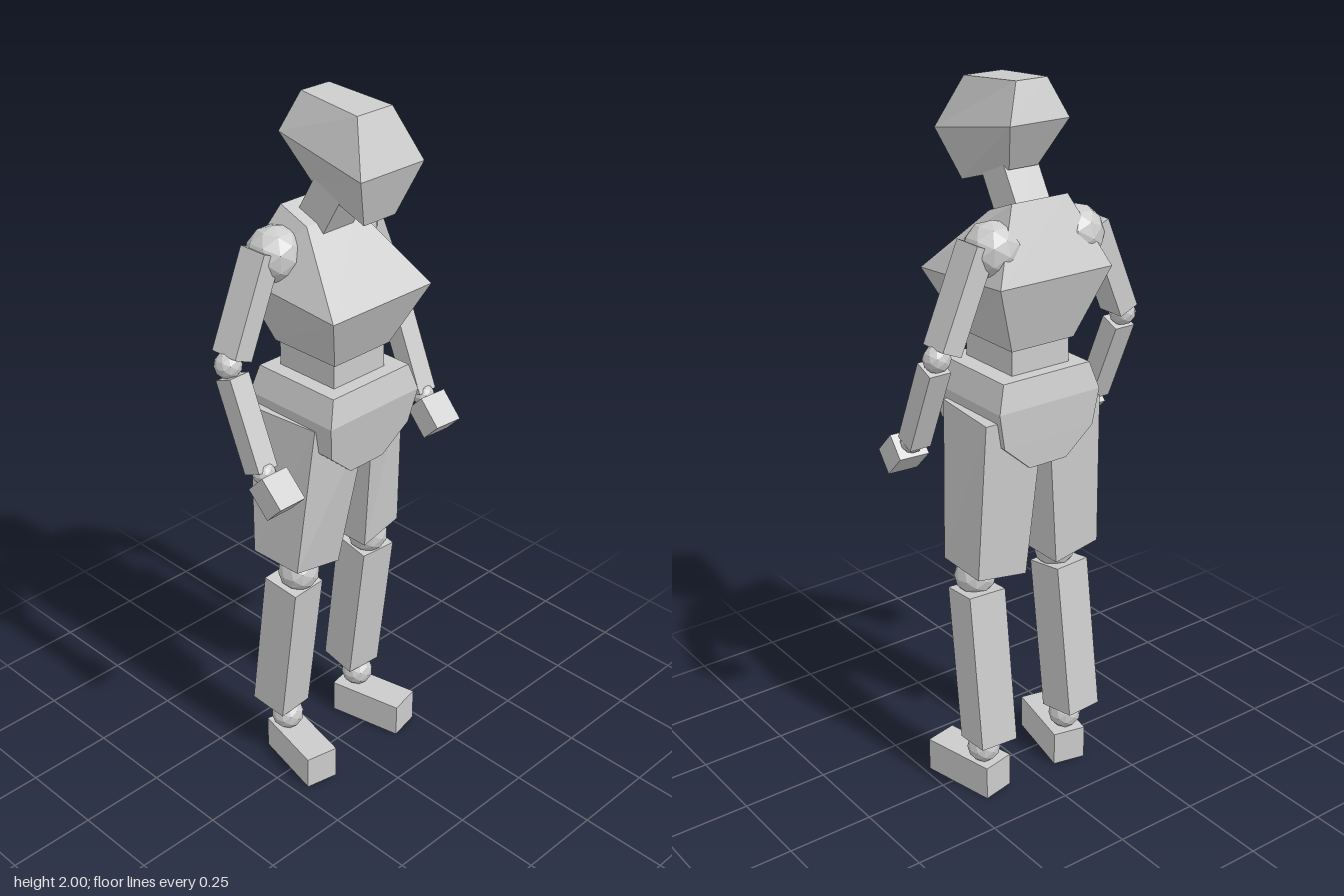
import * as THREE from 'three';

const material = new THREE.MeshStandardMaterial({ color: 0xcccccc, flatShading: true });

export function createModel() {
  const model = new THREE.Group();
  model.name = 'jointedFigure';

  function add(name, geometry, position = [0, 0, 0], rotation = [0, 0, 0]) {
    const mesh = new THREE.Mesh(geometry, material);
    mesh.name = name;
    mesh.position.set(...position);
    mesh.rotation.set(...rotation, 'YXZ');
    model.add(mesh);
    return mesh;
  }
  const box = (name, size, position, rotation) =>
    add(name, new THREE.BoxGeometry(...size), position, rotation);
  const ball = (name, radius, position) =>
    add(name, new THREE.IcosahedronGeometry(radius, 1), position);

  // Closed block through four-cornered rings, listed from bottom to top
  function loft(name, rings, position) {
    const points = [];
    const quad = (a, b, c, d) => points.push(...a, ...b, ...c, ...a, ...c, ...d);
    for (let i = 0; i + 1 < rings.length; i++) {
      for (let j = 0; j < 4; j++) {
        const k = (j + 1) % 4;
        quad(rings[i][j], rings[i][k], rings[i + 1][k], rings[i + 1][j]);
      }
    }
    quad(...[...rings[0]].reverse());
    quad(...rings[rings.length - 1]);
    const geometry = new THREE.BufferGeometry();
    geometry.setAttribute('position', new THREE.Float32BufferAttribute(points, 3));
    geometry.computeVertexNormals();
    return add(name, geometry, position);
  }
  // Symmetric ring from a front edge and a back edge: half width, y, z
  const ring = ([fw, fy, fz], [bw, by, bz]) =>
    [[-fw, fy, fz], [fw, fy, fz], [bw, by, bz], [-bw, by, bz]];

  // Head and neck, leaning forward
  loft('head', [
    ring([0.055, 1.715, 0.145], [0.045, 1.775, -0.045]),
    ring([0.11, 1.85, 0.187], [0.092, 1.9, -0.112]),
    ring([0.06, 1.985, 0.125], [0.048, 2, -0.077]),
  ]);
  box('neck', [0.106, 0.22, 0.098], [0, 1.71, -0.02], [0.53, 0, 0]);

  // Torso
  loft('chest', [
    ring([0.1, 1.33, 0.09], [0.1, 1.33, -0.13]),
    ring([0.177, 1.497, 0.163], [0.177, 1.522, -0.187]),
    ring([0.088, 1.675, -0.02], [0.088, 1.71, -0.113]),
  ]);
  box('waist', [0.185, 0.16, 0.2], [0, 1.29, -0.02]);
  loft('pelvis', [
    ring([0.06, 1.01, 0.105], [0.06, 1.01, -0.162]),
    ring([0.145, 1.085, 0.118], [0.145, 1.085, -0.166]),
    ring([0.163, 1.185, 0.135], [0.163, 1.185, -0.17]),
    ring([0.14, 1.26, 0.12], [0.14, 1.26, -0.155]),
  ], [0.005, 0, 0]);

  for (const s of [-1, 1]) {
    const side = s > 0 ? 'left' : 'right';

    // Arm
    ball(side + 'Shoulder', 0.077, [s * 0.132, 1.595, -0.09]);
    box(side + 'UpperArm', [0.06, 0.275, 0.087], [s * 0.233, 1.49, -0.09], [0, 0, s * 0.4]);
    ball(side + 'Elbow', 0.037, [s * 0.302, 1.345, -0.088]);
    box(side + 'Forearm', [0.064, 0.255, 0.06], [s * 0.301, 1.2, -0.025], [-0.4, 0, 0]);
    ball(side + 'Wrist', 0.032, [s * 0.301, 1.08, 0.035]);
    box(side + 'Hand', [0.086, 0.094, 0.074], [s * 0.299, 1.035, 0.08],
      [-0.8, s > 0 ? -0.08 : 0, 0]);

    // Leg, shifted slightly with the hips
    const x = (v) => s * v + 0.01;
    const thighRing = (corners) => {
      const placed = corners.map(([px, py, pz]) => [x(px), py, pz]);
      return s > 0 ? placed : placed.reverse();
    };
    loft(side + 'Thigh', [
      thighRing([[0.052, 0.69, 0.045], [0.198, 0.71, 0.033], [0.203, 0.71, -0.133], [0.052, 0.69, -0.142]]),
      thighRing([[0.008, 1.155, 0.115], [0.165, 1.155, 0.072], [0.187, 1.155, -0.15], [0.008, 1.155, -0.16]]),
    ]);
    ball(side + 'Knee', 0.058, [x(0.137), 0.665, -0.025]);
    box(side + 'Shin', [0.112, 0.455, 0.115], [x(0.145), 0.405, -0.069], [0.13, s * -0.07, 0]);
    ball(side + 'Ankle', 0.047, [x(0.146), 0.138, -0.072]);
    box(side + 'Foot', [0.097, 0.1, 0.225], [x(0.152), 0.05, -0.008], [0, s * 0.21, 0]);
  }
  return model;
}
